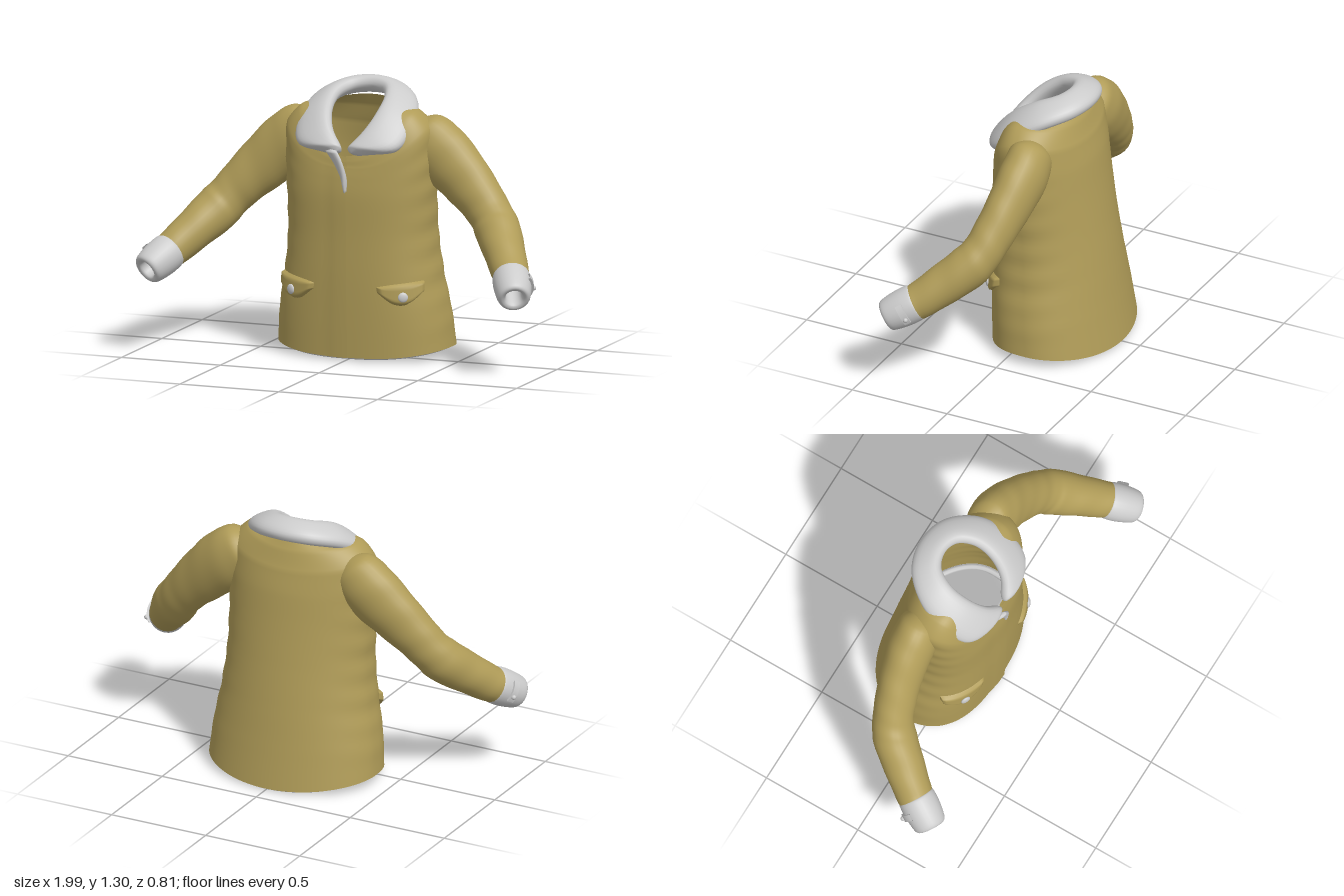
import * as THREE from 'three';

const olive = new THREE.MeshStandardMaterial({ color: 0xb09c58, side: THREE.DoubleSide });
const grey = new THREE.MeshStandardMaterial({ color: 0xcccccc, side: THREE.DoubleSide });
const V = (x, y, z) => new THREE.Vector3(x, y, z);
const spline = (pts) => new THREE.CatmullRomCurve3(pts.map((p) => V(...p)));
const spow = (v, e) => Math.sign(v) * Math.abs(v) ** e;

function add(parent, name, geometry, material) {
  const mesh = new THREE.Mesh(geometry, material);
  mesh.name = name;
  parent.add(mesh);
  return mesh;
}

// Smooth skin over rows of points; rows run counter-clockwise about the direction of advance
function loft(rows, closed = true) {
  const n = rows[0].length, index = [];
  for (let i = 0; i < rows.length - 1; i++) {
    for (let j = 0; j < (closed ? n : n - 1); j++) {
      const k = (j + 1) % n, a = i * n + j, b = i * n + k;
      index.push(a, b, a + n, b, b + n, a + n);
    }
  }
  const g = new THREE.BufferGeometry().setFromPoints(rows.flat());
  g.setIndex(index);
  g.computeVertexNormals();
  return g;
}

// Sleeve along a path with a radius and a front-to-back flattening at each path point
function sleeve(points, radii, flatness, steps = 56, sides = 28) {
  const path = spline(points), rows = [];
  const size = spline(radii.map((r, i) => [i, r, flatness[i]]));
  for (let i = 0; i <= steps; i++) {
    const u = i / steps, c = path.getPoint(u), t = path.getTangent(u);
    const a = t.clone().cross(V(0, 0, 1)).normalize(), b = t.clone().cross(a);
    const { y: r, z: flat } = size.getPoint(u);
    rows.push(Array.from({ length: sides }, (_, j) => {
      const q = (j / sides) * Math.PI * 2;
      const k = r * (1 + 0.008 * Math.sin(u * 55 + 2 * q));
      return c.clone().addScaledVector(a, k * Math.cos(q)).addScaledVector(b, k * flat * Math.sin(q));
    }));
  }
  return loft(rows);
}

// Flattened roll between an inner and an outer edge
function roll(inner, outer, thick, steps, sides = 24) {
  const I = spline(inner), O = spline(outer), rows = [];
  for (let i = 0; i <= steps; i++) {
    const u = i / steps, p = I.getPoint(u), q = O.getPoint(u);
    const c = p.clone().add(q).multiplyScalar(0.5), a = q.clone().sub(p).multiplyScalar(0.5);
    const t = I.getTangent(u).add(O.getTangent(u)).normalize();
    const n = t.cross(a).normalize().multiplyScalar(Math.min(thick, a.length() * 1.2));
    const end = Math.sqrt(Math.max(0, 1 - Math.abs(2 * u - 1) ** 30));
    rows.push(Array.from({ length: sides }, (_, j) => {
      const w = (j / sides) * Math.PI * 2;
      return c.clone().addScaledVector(a, end * spow(Math.cos(w), 0.85))
        .addScaledVector(n, end * spow(Math.sin(w), 0.85));
    }));
  }
  return loft(rows);
}

// Body rings from hem to neck: height at front, side, back / half width, front z, back z
const heights = spline([[0.015, 0.05, 0.008], [0.2, 0.21, 0.2], [0.4, 0.4, 0.4], [0.6, 0.6, 0.6],
  [0.78, 0.8, 0.8], [0.87, 0.95, 0.95], [0.92, 1.1, 1.06], [0.95, 1.18, 1.15], [0.975, 1.2, 1.21]]);
const widths = spline([[0.428, 0.178, -0.41], [0.414, 0.185, -0.38], [0.38, 0.19, -0.35],
  [0.36, 0.19, -0.318], [0.362, 0.192, -0.287], [0.366, 0.185, -0.265], [0.36, 0.178, -0.24],
  [0.285, 0.174, -0.208], [0.165, 0.17, -0.175]]);

function bodyPoint(u, q, lift = 0) {
  const h = heights.getPoint(u), w = widths.getPoint(u);
  const c = Math.cos(q), mid = (w.y + w.z) / 2, half = (w.y - w.z) / 2, e = c > 0 ? 0.8 : 1;
  const wrinkle = 0.003 * Math.sin(q) ** 4 * Math.sin(h.y * 48 + 2 * c) * Math.min(1, u * 4);
  const y = h.y + ((c > 0 ? h.x : h.z) - h.y) * c * c;
  return V(spow(Math.sin(q), e) * (w.x + wrinkle), y, mid + half * spow(c, e) + lift);
}

// Shell with the right panel lapping over the left at the front
function bodyShell() {
  const rows = [], n = 100;
  for (let i = 0; i <= 64; i++) {
    const row = [];
    for (let j = 0; j <= n; j++) {
      const q = (j / n) * (Math.PI * 2 + 0.015);
      row.push(bodyPoint(i / 64, q, 0.01 * THREE.MathUtils.smoothstep(q, 6.1, 6.28)));
    }
    rows.push(row);
  }
  return loft(rows, false);
}

// Pocket flap wrapped onto the front of the body
function onBody(x, y, lift) {
  const hw = 0.415 - (y - 0.2) * 0.16, mid = -0.08;
  const s = Math.min(1, Math.abs(x) / hw) ** 1.25, k = 1 + lift / 0.3;
  return V(x * k, y, mid + 0.27 * Math.sqrt(1 - s * s) ** 0.8 * k);
}
function flap(side) {
  const top = spline([[0.355, 0.39, 0], [0.3, 0.385, 0], [0.22, 0.375, 0], [0.155, 0.362, 0]]);
  const low = spline([[0.358, 0.35, 0], [0.295, 0.28, 0], [0.24, 0.28, 0], [0.16, 0.335, 0]]);
  const rows = [];
  for (let i = 0; i <= 10; i++) {
    const row = [];
    for (let j = 0; j <= 18; j++) {
      const u = side > 0 ? 1 - j / 18 : j / 18, v = 1 - i / 10;
      const p = top.getPoint(u).lerp(low.getPoint(u), v);
      const edge = Math.min(u * 2, 2 - 2 * u, v, 1 - v);
      row.push(onBody(side * p.x, p.y, -0.004 + 0.02 * Math.min(1, edge * 8)));
    }
    rows.push(row);
  }
  return loft(rows, false);
}

const mirrorRun = (half) => [...half.slice(1).reverse(), ...half.map(([x, y, z]) => [-x, y, z])];

export function createModel() {
  const jacket = new THREE.Group();
  jacket.name = 'jacket';
  add(jacket, 'body', bodyShell(), olive);

  // Hem trim, tucked just inside the shell
  const hem = Array.from({ length: 60 }, (_, j) => {
    const p = bodyPoint(0, (j / 60) * Math.PI * 2);
    return p.set(p.x * 0.955, p.y + 0.006, (p.z + 0.11) * 0.945 - 0.11);
  });
  add(jacket, 'hemTrim', new THREE.TubeGeometry(new THREE.CatmullRomCurve3(hem, true), 120, 0.014, 8, true), grey);

  // Facing behind the front closure
  const facing = [];
  for (let i = 0; i <= 24; i++) {
    const p = bodyPoint((i / 24) * 0.85, 0);
    facing.push([-0.045, 0, 0.045].map((x) => V(x, p.y, p.z - 0.016)));
  }
  add(jacket, 'frontFacing', loft(facing, false), grey);

  // Fur collar and folded lapel
  const inner = [[0, 1.28, -0.13], [0.075, 1.27, -0.105], [0.118, 1.24, -0.025],
    [0.115, 1.175, 0.07], [0.075, 1.09, 0.145], [-0.008, 0.995, 0.185]];
  const outer = [[0, 1.235, -0.26], [0.14, 1.225, -0.225], [0.25, 1.185, -0.11],
    [0.285, 1.11, 0.03], [0.25, 1.015, 0.145], [0.085, 1.0, 0.212]];
  add(jacket, 'collar', roll(mirrorRun(inner), mirrorRun(outer), 0.04, 90), grey);
  add(jacket, 'lapel', roll(
    [[-0.03, 1.01, 0.222], [-0.005, 0.96, 0.222], [0.013, 0.88, 0.21], [0.012, 0.8, 0.2]],
    [[-0.1, 1.01, 0.19], [-0.055, 0.95, 0.188], [-0.01, 0.87, 0.193], [0.002, 0.8, 0.196]],
    0.013, 24, 14), grey);

  for (const s of [1, -1]) {
    const label = s > 0 ? 'left' : 'right';

    // Sleeve, flattened at the shoulder with a crease at the elbow
    const arm = [[0.25, 1.09, -0.08], [0.295, 1.055, -0.08], [0.385, 0.975, -0.078], [0.5, 0.872, -0.062],
      [0.6, 0.775, -0.036], [0.665, 0.702, -0.01], [0.712, 0.645, 0.028], [0.782, 0.565, 0.118],
      [0.852, 0.485, 0.215], [0.887, 0.45, 0.265]];
    add(jacket, label + 'Sleeve', sleeve(arm.map(([x, y, z]) => [s * x, y, z]),
      [0.06, 0.125, 0.145, 0.132, 0.114, 0.106, 0.11, 0.098, 0.088, 0.082],
      [0.9, 0.8, 0.76, 0.76, 0.84, 0.9, 0.93, 1, 1, 1]), olive);

    // Turned cuff with a buttoned tab
    const cuff = new THREE.Group();
    cuff.name = label + 'Cuff';
    cuff.position.set(s * 0.862, 0.475, 0.232);
    cuff.quaternion.setFromUnitVectors(V(0, 1, 0), V(s * 0.07, -0.08, 0.13).normalize());
    const profile = [[0.078, 0], [0.088, 0.008], [0.09, 0.06], [0.084, 0.12], [0.074, 0.158],
      [0.056, 0.166], [0.04, 0.145], [0.038, 0.05]].map((p) => new THREE.Vector2(...p));
    add(cuff, 'cuffBand', new THREE.LatheGeometry(new THREE.SplineCurve(profile).getPoints(30), 28), grey);
    const tab = add(cuff, 'cuffTab', new THREE.CylinderGeometry(0.1, 0.1, 0.032, 12, 1, false,
      Math.PI / 2 - 0.55, 1.1), grey);
    tab.position.y = 0.07;
    tab.rotation.y = s > 0 ? 0.6 : Math.PI - 0.6;
    const stud = add(tab, 'cuffButton', new THREE.SphereGeometry(0.012, 12, 8), grey);
    stud.position.set(0.098, 0, s * 0.025);
    jacket.add(cuff);

    // Pocket flap and button
    add(jacket, label + 'PocketFlap', flap(s), olive);
    const button = add(jacket, label + 'PocketButton', new THREE.SphereGeometry(0.024, 18, 12), grey);
    button.position.copy(onBody(s * 0.268, 0.318, 0.018));
    button.scale.z = 0.4;
    button.rotation.y = s * 0.5;
  }
  return jacket;
}
